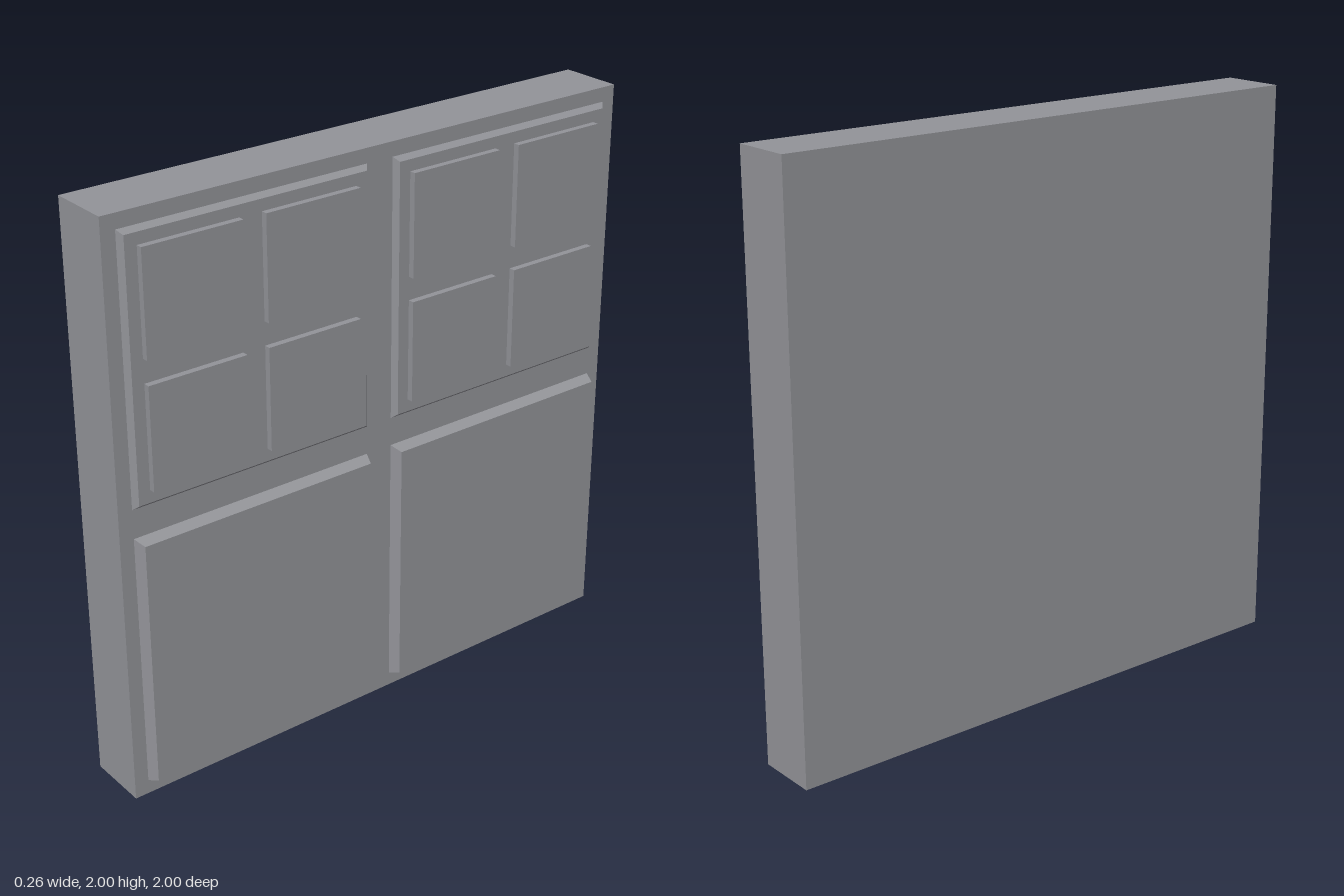
import * as THREE from 'three';

const grey = new THREE.MeshStandardMaterial({ color: 0x939499 });
grey.name = 'grey';

// Block spanning x0..x1, centred on y and z, its +x face drawn in by inset
function block(name, x0, x1, y, z, height, depth, inset = 0) {
  const geometry = new THREE.BoxGeometry(x1 - x0, height, depth);
  const p = geometry.attributes.position;
  for (let i = 0; i < p.count; i++) {
    if (p.getX(i) > 0) {
      p.setY(i, p.getY(i) - Math.sign(p.getY(i)) * inset);
      p.setZ(i, p.getZ(i) - Math.sign(p.getZ(i)) * inset);
    }
  }
  geometry.computeVertexNormals();
  const mesh = new THREE.Mesh(geometry, grey);
  mesh.name = name;
  mesh.position.set((x0 + x1) / 2, y, z);
  return mesh;
}

export function createModel() {
  const model = new THREE.Group();
  model.name = 'panelledWall';

  // Backing slab
  model.add(block('slab', -0.13, 0.09, 1, 0, 2, 2));

  for (const z of [-0.5, 0.5]) {
    // Thick plain panel below, thin panel above
    model.add(block('lowerPanel', 0.09, 0.13, 0.5, z, 0.9, 0.9, 0.015));
    model.add(block('upperPanel', 0.09, 0.108, 1.5, z, 0.9, 0.9, 0.015));

    // Four raised squares on the upper panel
    for (const dy of [-0.217, 0.217]) {
      for (const dz of [-0.217, 0.217]) {
        model.add(block('raisedSquare', 0.108, 0.13, 1.502 + dy, z + dz, 0.353, 0.353));
      }
    }
  }
  return model;
}
